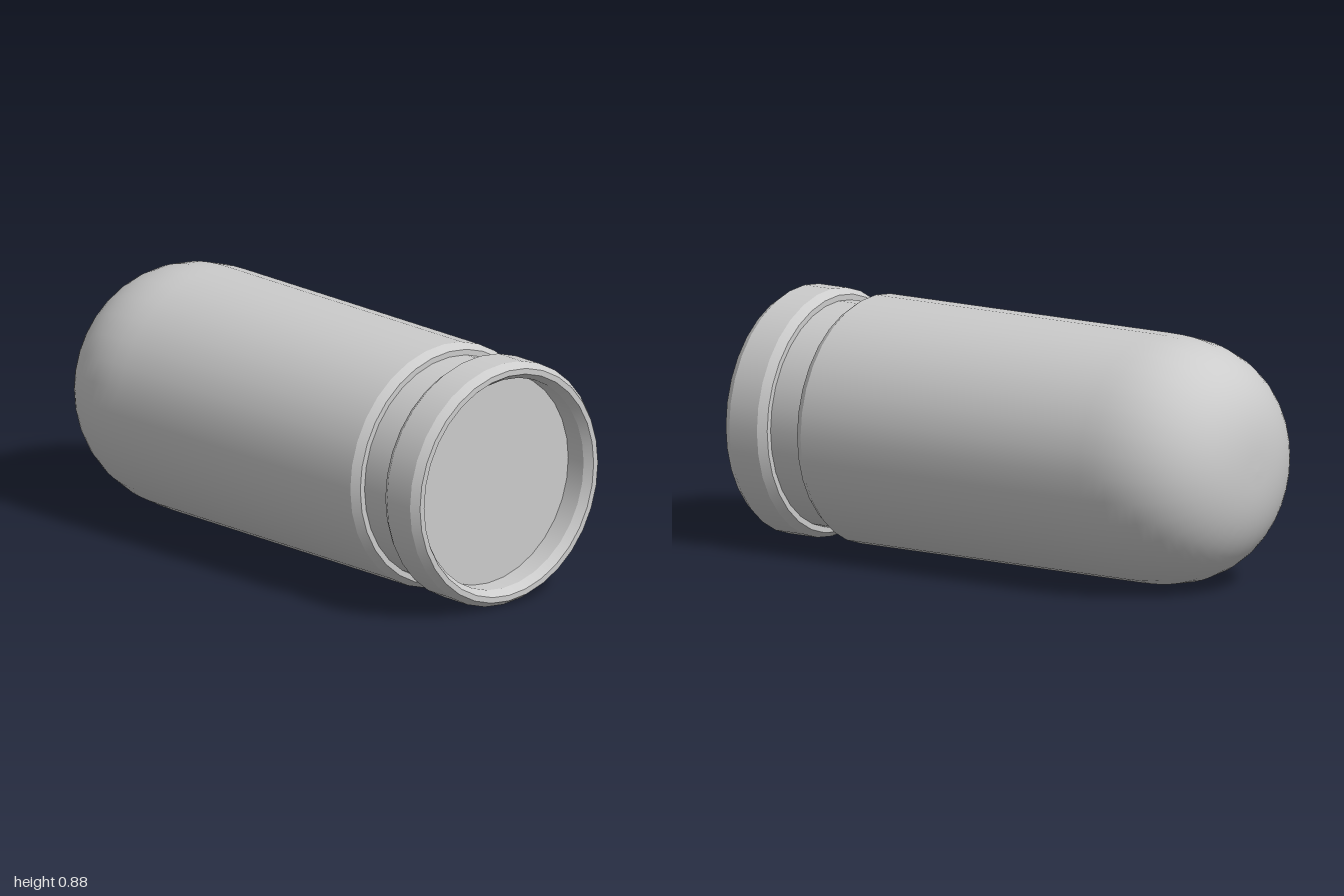
import * as THREE from 'three';
import { mergeGeometries } from 'three/addons/utils/BufferGeometryUtils.js';

const SIDES = 32;
const RADIUS = 0.44;
const material = new THREE.MeshStandardMaterial({ color: 0xcccccc });

// Revolves [x, radius] points around the long axis, running along +x.
function revolve(points) {
  const profile = points.map(([x, r]) => new THREE.Vector2(r, x));
  return new THREE.LatheGeometry(profile, SIDES).rotateZ(-Math.PI / 2);
}

// One band per pair of points, so every edge between bands stays sharp.
function bands(points) {
  return points.slice(1).map((p, i) => revolve([points[i], p]));
}

function part(name, geometries) {
  const mesh = new THREE.Mesh(mergeGeometries(geometries), material);
  mesh.name = name;
  mesh.position.y = RADIUS;
  return mesh;
}

export function createModel() {
  const group = new THREE.Group();
  group.name = 'capsule';

  // Blunt rounded nose, blending smoothly into the straight body
  const nose = [];
  const steps = 20;
  const power = 2 / 2.5;
  for (let i = 0; i <= steps; i++) {
    const a = (i / steps) * Math.PI / 2;
    const along = i === steps ? 0 : Math.cos(a) ** power;
    nose.push([-0.55 - 0.45 * along, RADIUS * Math.sin(a) ** power]);
  }
  nose.push([0.66, RADIUS]);

  // Body with a bevelled shoulder
  group.add(part('body', [
    revolve(nose),
    ...bands([[0.66, RADIUS], [0.69, 0.42], [0.69, 0.4]]),
  ]));

  // Recessed neck
  group.add(part('neck', bands([[0.69, 0.4], [0.82, 0.4]])));

  // Bevelled collar with a shallow round recess in its end
  group.add(part('collar', bands([
    [0.82, 0.4], [0.82, 0.42], [0.85, RADIUS], [0.97, RADIUS],
    [1, 0.42], [1, 0.4], [0.97, 0.38], [0.89, 0.38],
  ])));
  group.add(part('recessFloor', bands([[0.89, 0.38], [0.89, 0]])));

  return group;
}
